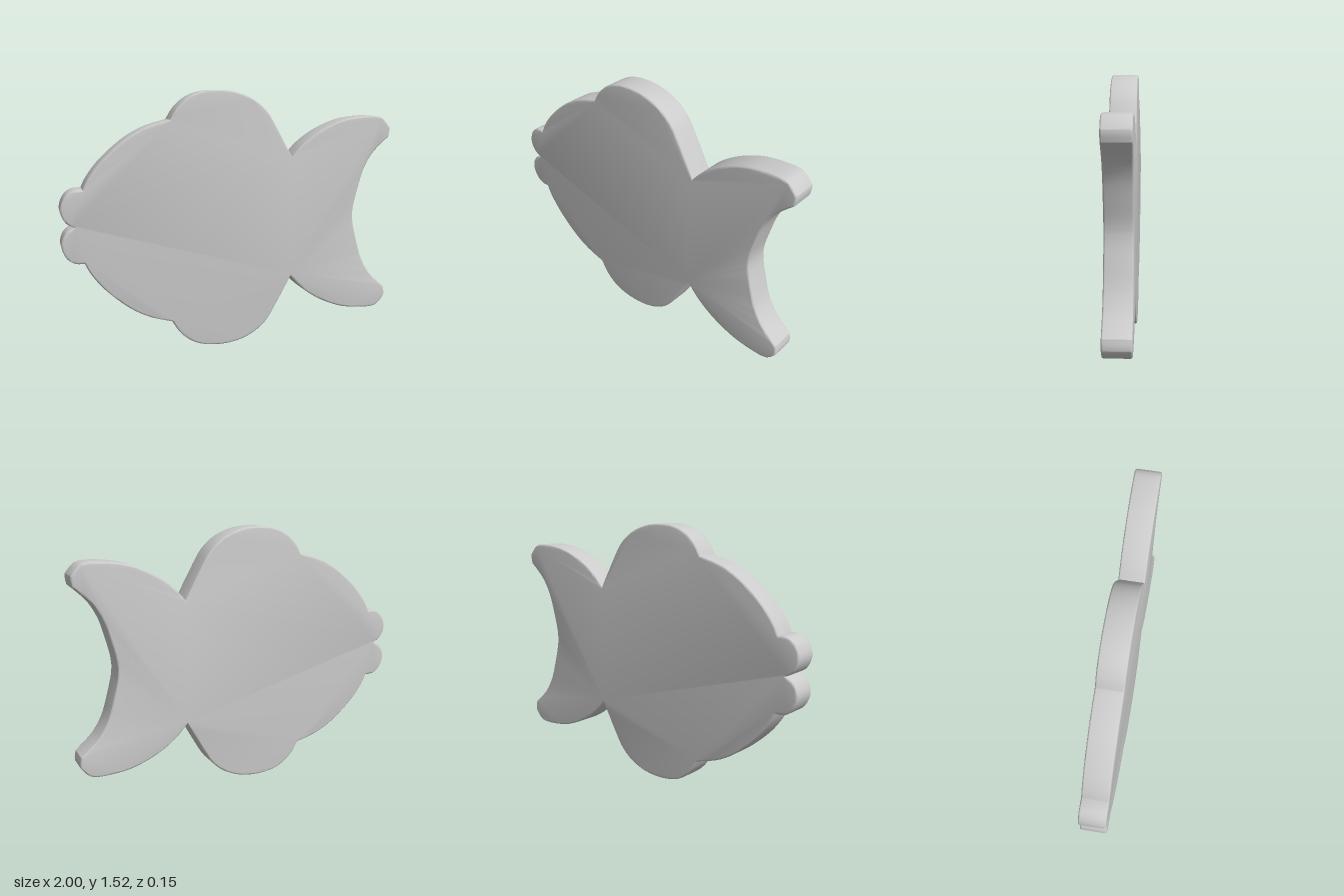
import * as THREE from 'three';
import { toCreasedNormals } from 'three/addons/utils/BufferGeometryUtils.js';

const MID = 0.76;      // height of the mirror line
const HALF = 0.077;    // half thickness
const BEVEL = 0.01;

// Upper half of the outline, mouth to tail; heights are above the mirror line.
// Neighbouring arcs share an end point and meet at a sharp corner.
const arcs = [
  // lip
  [[-0.925, 0], [-0.97, 0.025], [-0.998, 0.075], [-0.998, 0.125], [-0.97, 0.18], [-0.925, 0.208], [-0.875, 0.21]],
  // brow
  [[-0.875, 0.21], [-0.845, 0.27], [-0.78, 0.355], [-0.69, 0.44], [-0.6, 0.507], [-0.5, 0.557], [-0.375, 0.593]],
  // fin
  [[-0.375, 0.593], [-0.34, 0.652], [-0.28, 0.71], [-0.2, 0.747], [-0.09, 0.76], [0.02, 0.747],
    [0.12, 0.707], [0.2, 0.642], [0.26, 0.55], [0.362, 0.365]],
  // tail lobe
  [[0.362, 0.365], [0.42, 0.43], [0.5, 0.493], [0.6, 0.547], [0.72, 0.588], [0.86, 0.603], [0.945, 0.592], [0.998, 0.535]],
  // tail tip
  [[0.998, 0.535], [0.999, 0.51], [0.992, 0.475]],
  // tail hollow
  [[0.992, 0.475], [0.93, 0.42], [0.88, 0.365], [0.83, 0.275], [0.795, 0.16], [0.77, 0.06], [0.764, 0]],
];

function outline() {
  const upper = [];
  arcs.forEach((arc, i) => {
    const curve = new THREE.SplineCurve(arc.map(([x, y]) => new THREE.Vector2(x, y)));
    const pts = curve.getPoints((arc.length - 1) * 3);
    upper.push(...(i ? pts.slice(1) : pts));
  });
  // mirror everything but the two points on the axis
  const lower = upper.slice(1, -1).reverse().map((p) => new THREE.Vector2(p.x, -p.y));
  return new THREE.Shape([...upper, ...lower]);
}

export function createModel() {
  const group = new THREE.Group();
  group.name = 'fish';

  const depth = 2 * (HALF - BEVEL);
  const geometry = new THREE.ExtrudeGeometry(outline(), {
    depth,
    bevelEnabled: true,
    bevelThickness: BEVEL,
    bevelSize: BEVEL,
    bevelOffset: -BEVEL,
    bevelSegments: 3,
  });
  geometry.translate(0, MID, -depth / 2);

  const body = new THREE.Mesh(
    toCreasedNormals(geometry, 0.6),
    new THREE.MeshStandardMaterial({ color: 0xcccccc }),
  );
  body.name = 'fishPlate';
  group.add(body);
  return group;
}
